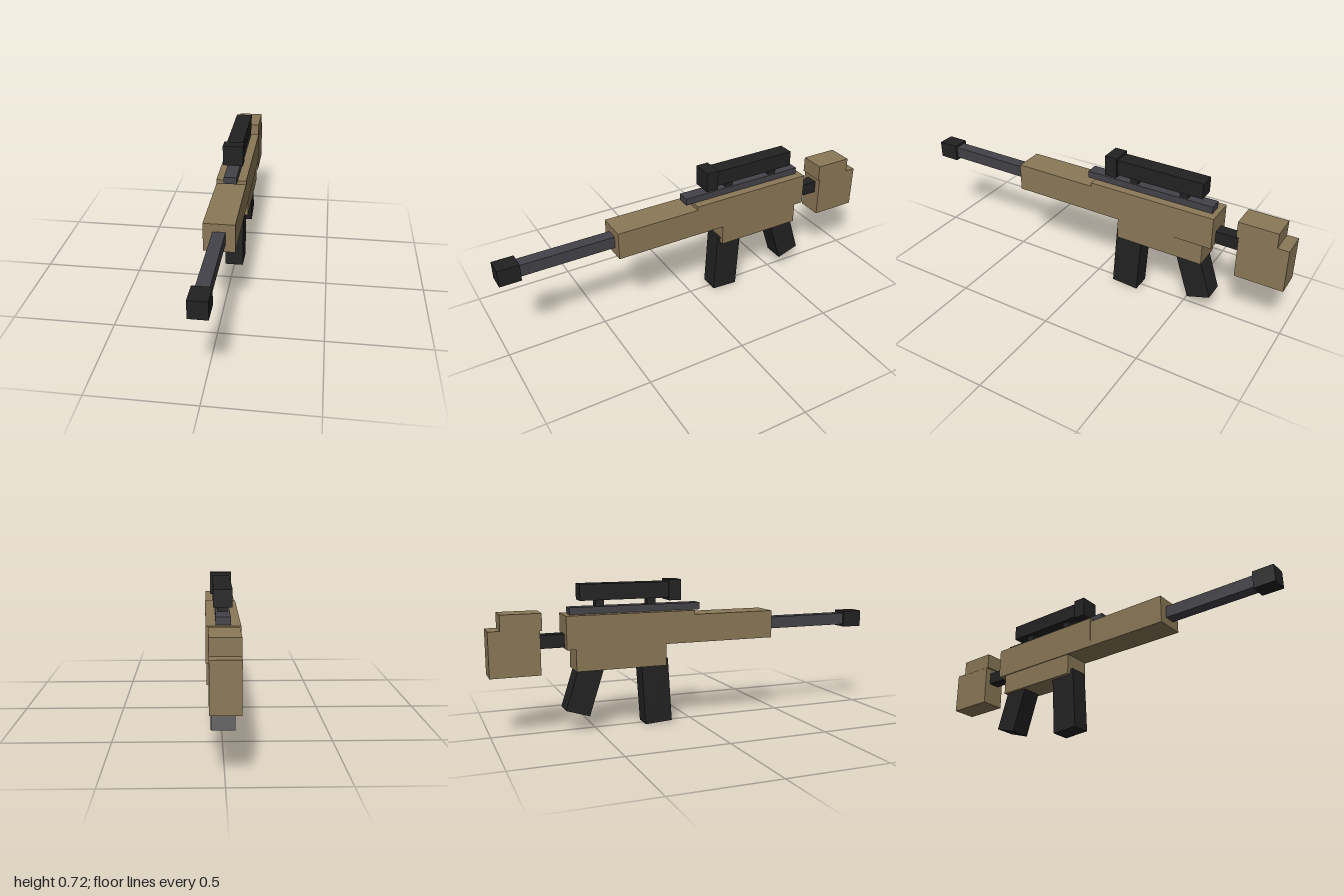
import * as THREE from 'three';

const material = (name, color) => {
  const m = new THREE.MeshStandardMaterial({ color });
  m.name = name;
  return m;
};

export function createModel() {
  const tan = material('tan', 0x8b7857);
  const black = material('black', 0x222222);
  const steel = material('steel grey', 0x424248);

  const model = new THREE.Group();
  model.name = 'rifle';

  // Box centred on x = 0, given by its half width and its y and z ranges
  const block = (name, mat, halfW, y0, y1, z0, z1) => {
    const mesh = new THREE.Mesh(new THREE.BoxGeometry(2 * halfW, y1 - y0, z1 - z0), mat);
    mesh.name = name;
    mesh.position.set(0, (y0 + y1) / 2, (z0 + z1) / 2);
    model.add(mesh);
    return mesh;
  };

  // Tilted box hanging from the receiver, placed by the centre of its lower end
  const hanging = (name, mat, halfW, length, depth, y, z, degrees) => {
    const mesh = block(name, mat, halfW, 0, length, 0, depth);
    const a = THREE.MathUtils.degToRad(degrees);
    mesh.rotation.x = a;
    mesh.position.set(0, y + Math.cos(a) * length / 2, z + Math.sin(a) * length / 2);
  };

  // Barrel
  block('muzzle', black, 0.043, 0.43, 0.515, 0.895, 1);
  block('barrel', steel, 0.03, 0.443, 0.503, 0.42, 0.896);

  // Body
  block('handguard', tan, 0.074, 0.403, 0.543, 0, 0.43);
  block('upperReceiver', tan, 0.075, 0.403, 0.563, -0.645, 0);
  block('lowerReceiver', tan, 0.07, 0.296, 0.404, -0.6, -0.15);
  hanging('magazine', black, 0.048, 0.32, 0.138, 0.004, -0.184, -3.5);
  hanging('grip', black, 0.053, 0.27, 0.121, 0.089, -0.595, 18);

  // Rail and scope
  block('rail', steel, 0.032, 0.562, 0.597, -0.62, 0.042);
  for (const z of [-0.21, -0.47]) block('scopeMount', black, 0.022, 0.596, 0.632, z - 0.021, z + 0.021);
  block('scopeTube', black, 0.041, 0.628, 0.706, -0.57, -0.12);
  block('scopeFront', black, 0.051, 0.615, 0.717, -0.127, -0.064);

  // Stock
  block('stockTube', black, 0.03, 0.41, 0.474, -0.77, -0.64);
  block('stock', tan, 0.063, 0.291, 0.507, -1, -0.765);
  block('cheekRest', tan, 0.064, 0.5, 0.581, -0.945, -0.755);

  return model;
}
